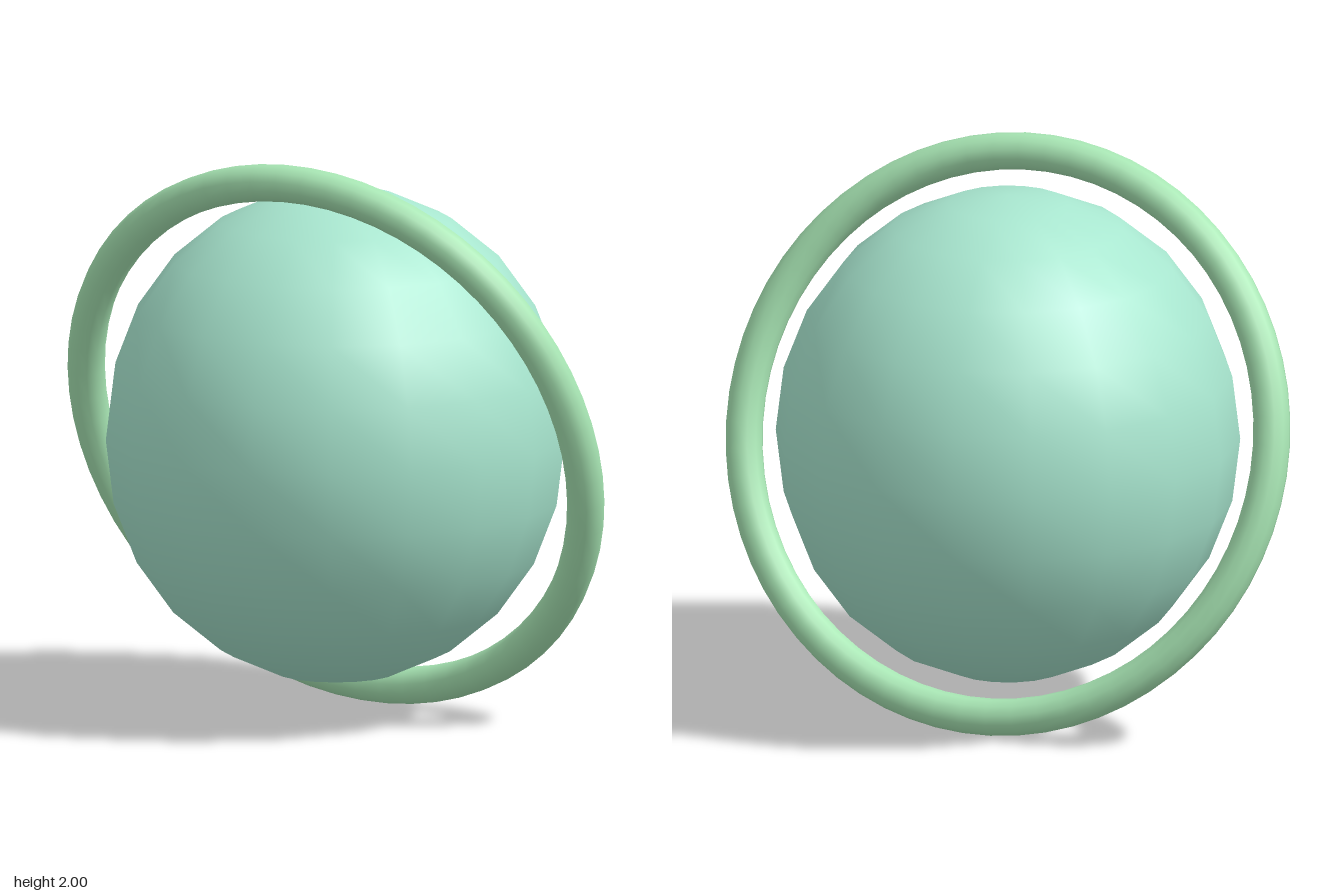
import * as THREE from 'three';

export function createModel() {
  const model = new THREE.Group();
  model.name = 'ringedPlanet';

  const add = (name, geometry, color) => {
    const mesh = new THREE.Mesh(geometry, new THREE.MeshStandardMaterial({ color }));
    mesh.name = name;
    mesh.position.y = 1;
    model.add(mesh);
    return mesh;
  };

  // Slightly tall globe with a coarse, smooth-shaded outline
  const globe = new THREE.SphereGeometry(0.81, 18, 12);
  globe.scale(1, 0.87 / 0.81, 1);
  add('planet', globe, 0xa8e6cf);

  // Thin round ring, tilted about x and y
  const ring = add('ring', new THREE.TorusGeometry(0.987, 0.065, 12, 64), 0xa8e6b4);
  ring.rotation.set(0.35, 0.35, 0);

  return model;
}
